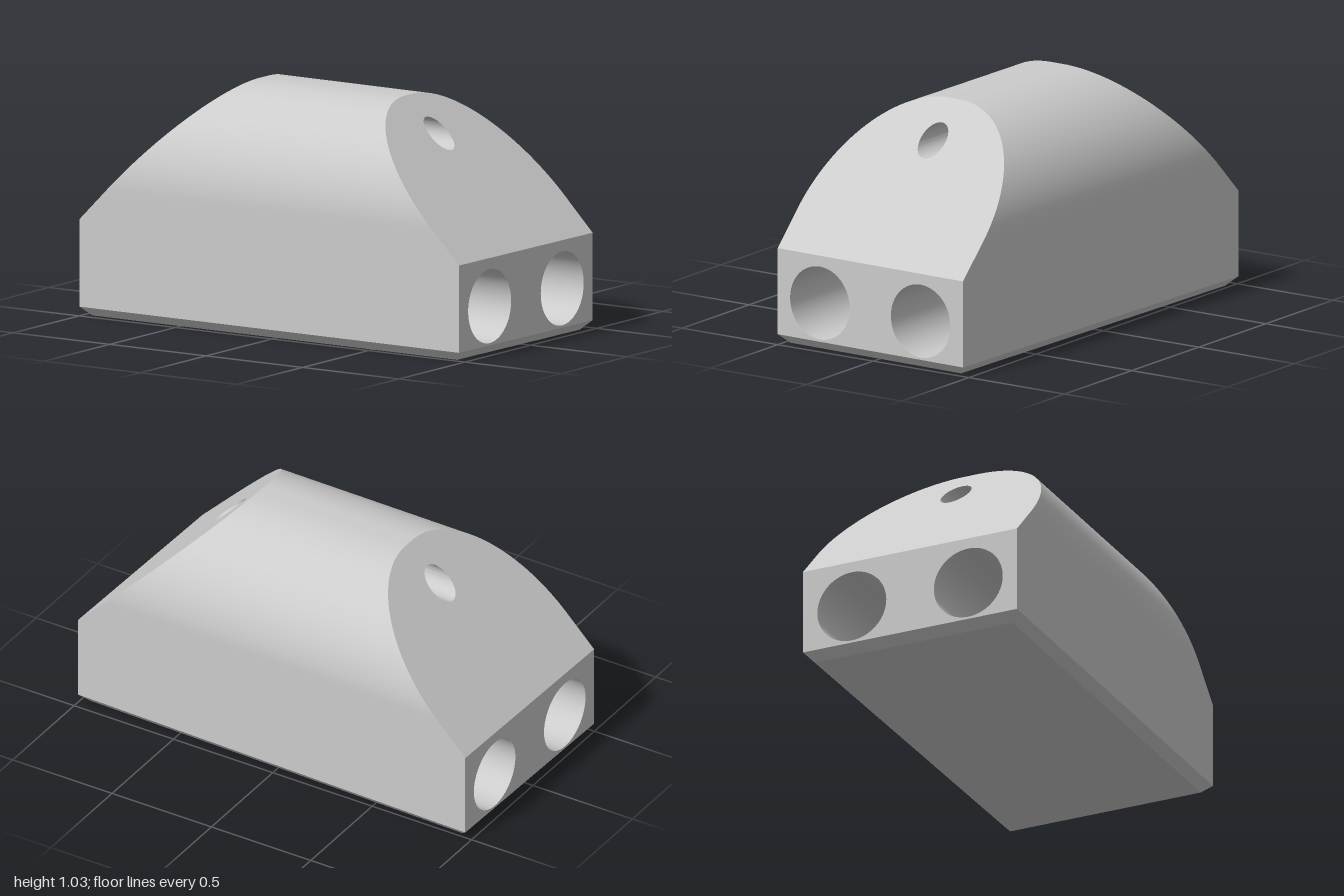
import * as THREE from 'three';
import { toCreasedNormals } from 'three/addons/utils/BufferGeometryUtils.js';

const FOOT = 0.04, SHOULDER = 0.42, TOP = 1.03, HALF = 0.5, LENGTH = 0.99;

// Half length at height y: bevelled foot, upright ends, 45 degree slopes above
function halfLength(y) {
  if (y < FOOT) return LENGTH - (FOOT - y);
  return LENGTH - Math.max(0, y - SHOULDER);
}

function polygon(points) {
  return new THREE.Shape(points.map(([x, y]) => new THREE.Vector2(x, y)));
}

function addHole(shape, x, y, r) {
  shape.holes.push(new THREE.Path().absarc(x, y, r, 0, Math.PI * 2, true));
}

// Run a cross-section lengthwise, shape its ends, and drop the faces lying on the seams
function section(name, shape, seams, material) {
  const raw = new THREE.ExtrudeGeometry(shape, { depth: 2, bevelEnabled: false, curveSegments: 32 });
  const src = raw.attributes.position;
  const out = [];
  for (let i = 0; i < src.count; i += 3) {
    const onSeam = seams.some(h => [0, 1, 2].every(k => Math.abs(src.getY(i + k) - h) < 1e-5));
    if (onSeam) continue;
    for (let k = 0; k < 3; k++) {
      const s = -src.getX(i + k), y = src.getY(i + k);
      const x = (src.getZ(i + k) - 1) * halfLength(y);
      // slight turn and taper along the length
      out.push(x - 0.02 * s, y, 0.006 + s + x * (0.0164 - 0.0175 * s));
    }
  }
  const geo = new THREE.BufferGeometry();
  geo.setAttribute('position', new THREE.Float32BufferAttribute(out, 3));
  geo.computeVertexNormals();
  const mesh = new THREE.Mesh(toCreasedNormals(geo, 0.4), material);
  mesh.name = name;
  return mesh;
}

export function createModel() {
  const group = new THREE.Group();
  group.name = 'archedBlock';
  const grey = new THREE.MeshStandardMaterial({ color: 0xcccccc });
  grey.name = 'light grey';

  // Bevelled foot
  const foot = polygon([[-HALF + FOOT, 0], [HALF - FOOT, 0], [HALF, FOOT], [-HALF, FOOT]]);
  group.add(section('bevelledFoot', foot, [FOOT], grey));

  // Lower block with two wide bores
  const lower = polygon([[-HALF, FOOT], [HALF, FOOT], [HALF, SHOULDER], [-HALF, SHOULDER]]);
  for (const side of [-1, 1]) addHole(lower, side * 0.272, 0.211, 0.161);
  group.add(section('lowerBlock', lower, [FOOT, SHOULDER], grey));

  // Arched top with one narrow bore
  const r = 0.47, flat = HALF - r;
  const arch = new THREE.Shape();
  arch.moveTo(-HALF, SHOULDER);
  arch.lineTo(HALF, SHOULDER);
  arch.lineTo(HALF, TOP - r);
  arch.absarc(flat, TOP - r, r, 0, Math.PI / 2, false);
  arch.lineTo(-flat, TOP);
  arch.absarc(-flat, TOP - r, r, Math.PI / 2, Math.PI, false);
  arch.lineTo(-HALF, SHOULDER);
  addHole(arch, 0, 0.876, 0.066);
  group.add(section('archedTop', arch, [SHOULDER], grey));

  return group;
}
